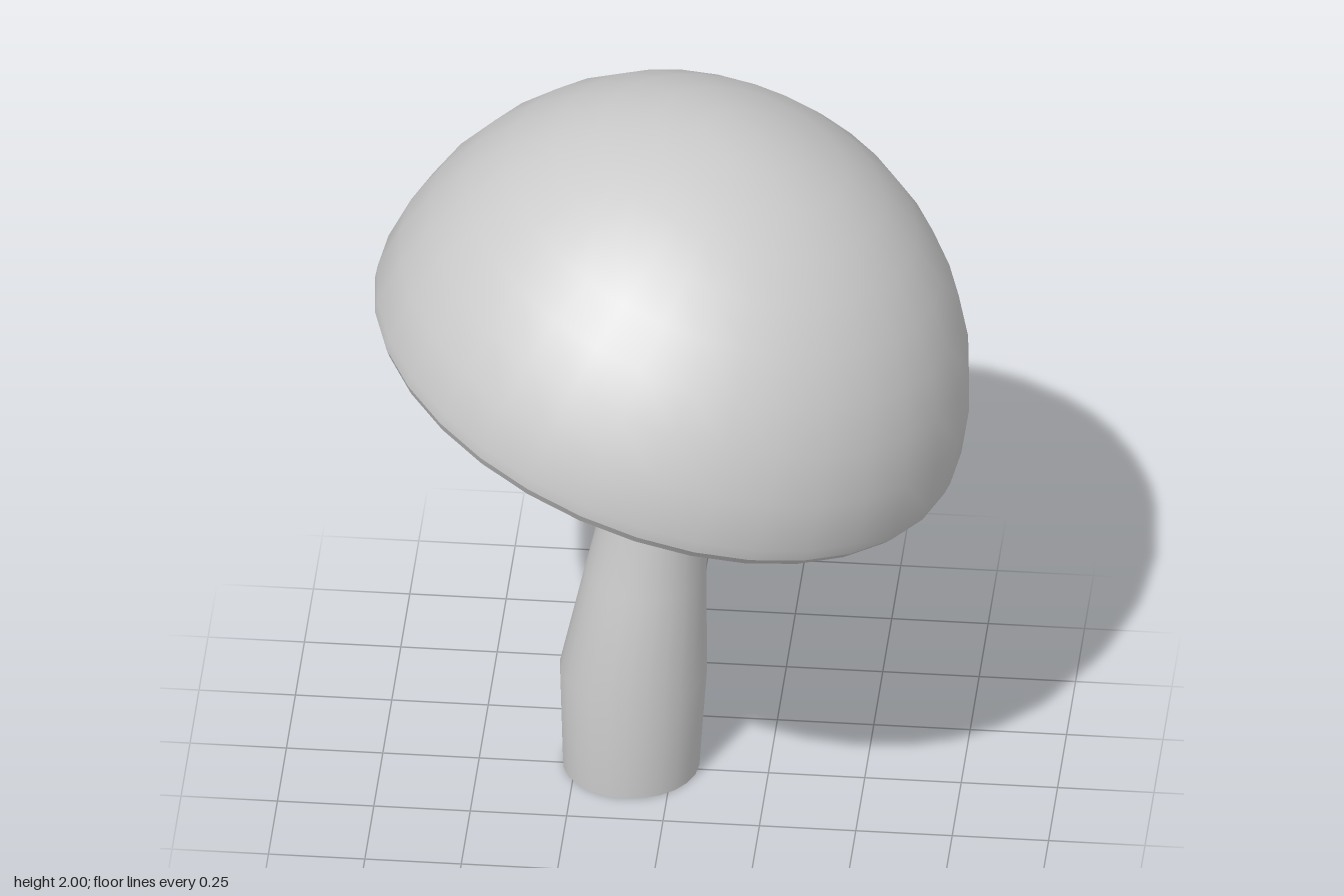
import * as THREE from 'three';
import { toCreasedNormals } from 'three/addons/utils/BufferGeometryUtils.js';

const material = new THREE.MeshStandardMaterial({ color: 0xcccccc });

function addMesh(group, name, geometry, crease) {
  const mesh = new THREE.Mesh(toCreasedNormals(geometry, crease), material);
  mesh.name = name;
  group.add(mesh);
  return mesh;
}

// Hemispherical cap with a rounded rim and a gently sloping hollow underneath
function capGeometry() {
  const R = 0.797;
  const points = [
    [0, 0.085], [0.46, 0.07], [0.665, 0.035], [0.738, 0.005], [0.772, 0], [0.79, 0.025],
  ].map(([r, y]) => new THREE.Vector2(r, y));
  const rings = 9;
  const start = 0.075;
  for (let i = 0; i <= rings; i++) {
    const a = start + (Math.PI / 2 - start) * i / rings;
    points.push(new THREE.Vector2(i === rings ? 0 : R * Math.cos(a), R * Math.sin(a)));
  }
  return new THREE.LatheGeometry(points, 32);
}

// Leaning stem: a cylinder whose rows follow sections [y, centre x, radius]
function stemGeometry() {
  const sections = [
    [0, -0.108, 0.177], [0.3, -0.102, 0.191], [0.6, -0.07, 0.157],
    [0.85, -0.042, 0.128], [1.2, -0.01, 0.124], [1.34, 0.008, 0.122],
  ];
  const rows = sections.length - 1;
  const geometry = new THREE.CylinderGeometry(1, 1, 1, 24, rows);
  const p = geometry.attributes.position;
  for (let i = 0; i < p.count; i++) {
    const [y, x, r] = sections[Math.round((p.getY(i) + 0.5) * rows)];
    p.setXYZ(i, x + r * p.getX(i), y, -0.022 + r * p.getZ(i));
  }
  return geometry;
}

export function createModel() {
  const model = new THREE.Group();
  model.name = 'mushroom';

  addMesh(model, 'stem', stemGeometry(), 0.6);

  const cap = addMesh(model, 'cap', capGeometry(), 0.4);
  cap.position.set(-0.025, 1.205, 0);
  cap.rotation.z = -0.308;

  return model;
}
